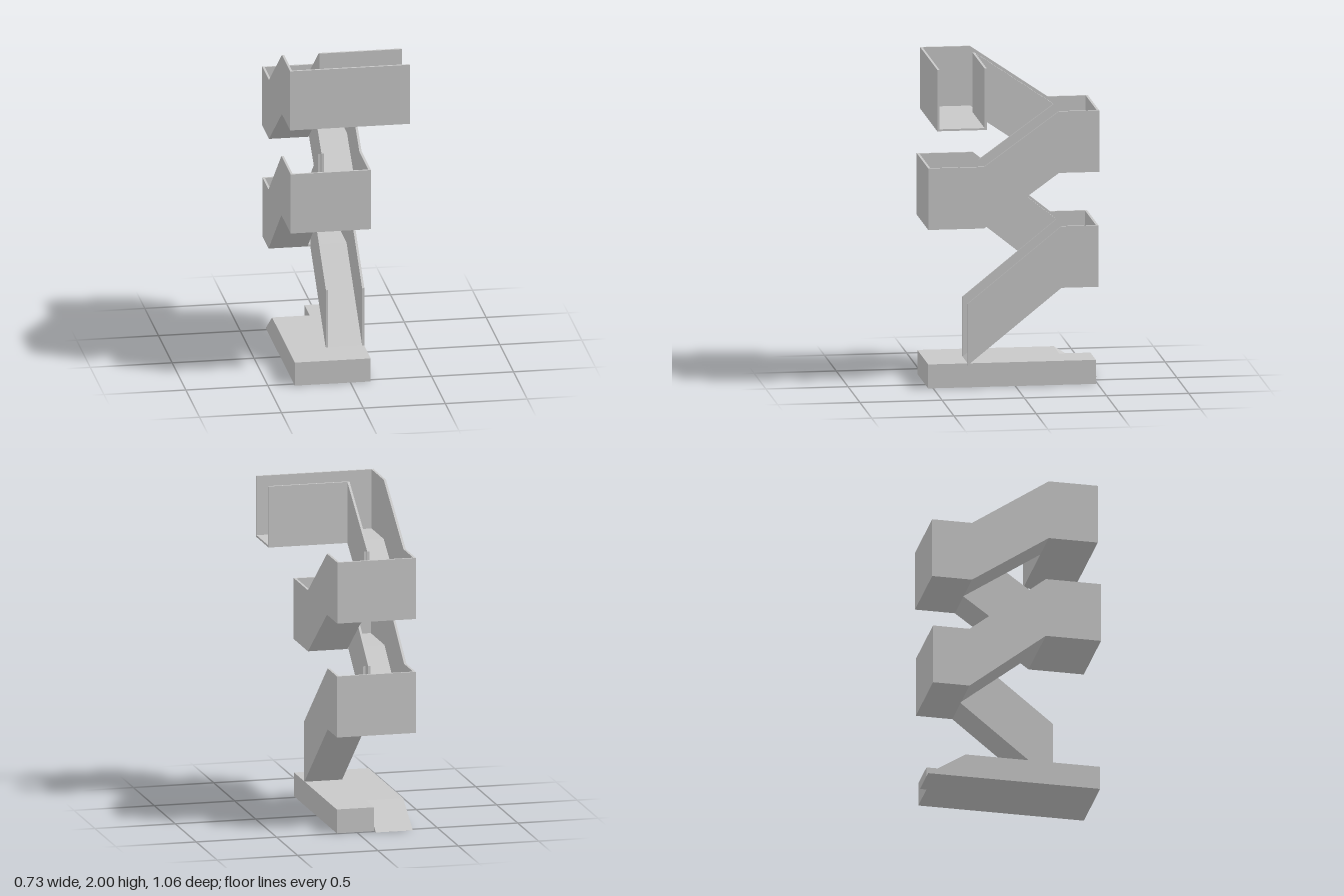
import * as THREE from 'three';

const WALL = 0.014;   // wall thickness
const FLOOR = 0.012;  // floor thickness
const H = 0.377;      // wall height

export function createModel() {
  const group = new THREE.Group();
  group.name = 'rampTower';
  const grey = new THREE.MeshStandardMaterial({ color: 0xc8c8c8 });
  grey.name = 'plainGrey';

  // Extrudes a side profile of [z, y] points from x0 to x1
  function profile(name, points, x0, x1) {
    const shape = new THREE.Shape(points.map(([z, y]) => new THREE.Vector2(-z, y)));
    const geo = new THREE.ExtrudeGeometry(shape, { depth: x1 - x0, bevelEnabled: false });
    geo.rotateY(Math.PI / 2).translate(x0, 0, 0);
    const mesh = new THREE.Mesh(geo, grey);
    mesh.name = name;
    group.add(mesh);
  }

  // Band of constant vertical height that follows a path of [z, y] points
  function band(name, path, height, x0, x1) {
    const top = path.map(([z, y]) => [z, y + height]).reverse();
    profile(name, [...path, ...top], x0, x1);
  }

  const L = -0.365, R = 0.125;

  // Base slab with an entry ramp let into its rear corner
  profile('baseSlab', [[0.53, 0], [0.53, 0.147], [-0.49, 0.147], [-0.49, 0]], -0.11, 0.123);
  profile('baseRamp', [[0.53, 0], [0.53, 0.147], [-0.3, 0.147], [-0.53, 0]], -0.34, -0.11);

  // Corner points of the climb: landing edges as [z, y]
  const start = [0.29, 0.135];
  const in1 = [-0.28, 0.595], out1 = [-0.505, 0.595];
  const in2 = [0.19, 0.972], out2 = [0.53, 0.972];
  const in3 = [-0.265, 1.3], out3 = [-0.51, 1.3];
  const in4 = [0.208, 1.623], out4 = [0.51, 1.623];

  // Outer walls, each running on through its flight and landings
  band('lowerRightWall', [start, in1, out1], H, R - WALL, R);
  band('lowerLeftWall', [out1, in1, in2, out2], H, L, L + WALL);
  band('upperRightWall', [out2, in2, in3, out3], H, R - WALL, R);
  band('upperLeftWall', [out3, in3, in4, out4], H, L, L + WALL);

  // Sloping flights: floor plus the wall beside the stairwell
  const flights = [
    { from: start, to: in1, x0: -0.11, x1: R, inner: -0.11 },
    { from: in1, to: in2, x0: L, x1: -0.127, inner: -0.127 - WALL },
    { from: in2, to: in3, x0: -0.12, x1: R, inner: -0.12 },
    { from: in3, to: in4, x0: L, x1: -0.125, inner: -0.125 - WALL },
  ];
  flights.forEach(({ from, to, x0, x1, inner }, i) => {
    band(`flightFloor${i + 1}`, [from, to], FLOOR, x0, x1);
    band(`flightInnerWall${i + 1}`, [from, to], H, inner, inner + WALL);
  });

  // Landings: floor and end wall; the top one is longer and open at its end
  const landings = [[in1, out1, R], [in2, out2, R], [in3, out3, R], [in4, out4, 0.365]];
  landings.forEach(([inner, outer, x1], i) => {
    band(`landingFloor${i + 1}`, [inner, outer], FLOOR, L, x1);
    const edge = [outer[0] - Math.sign(outer[0]) * WALL, outer[1]];
    band(`landingEndWall${i + 1}`, [edge, outer], H, L, x1);
  });

  // Inner wall of the top landing
  band('topLandingInnerWall', [in4, [in4[0] + WALL, in4[1]]], H, -0.139, 0.365);

  return group;
}
